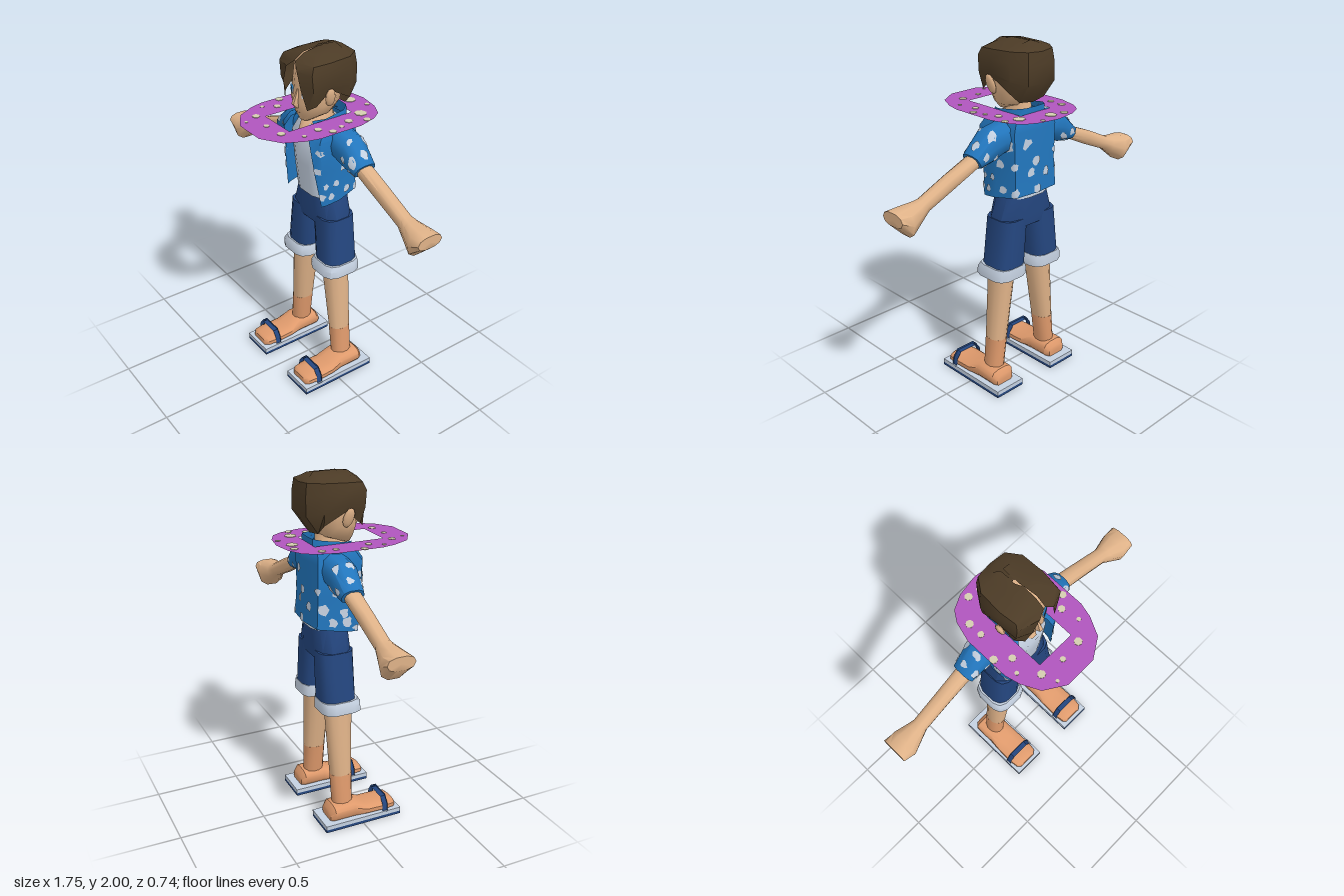
import * as THREE from 'three';
import { toCreasedNormals } from 'three/addons/utils/BufferGeometryUtils.js';

const mat = (name, color, side = THREE.FrontSide) => new THREE.MeshStandardMaterial({ name, color, side });

// Seeded random numbers for the fabric blots
let seed = 7;
const rand = () => (seed = (seed * 16807) % 2147483647) / 2147483647;

// Skin over a list of cross-sections, each a list of [x, y, z]
function loft(rings, open = false, crease = 0.8) {
  const n = rings[0].length, pos = rings.flat(2), idx = [];
  for (let r = 0; r < rings.length - 1; r++)
    for (let i = 0; i < (open ? n - 1 : n); i++) {
      const a = r * n + i, b = r * n + (i + 1) % n;
      idx.push(a, b, b + n, a, b + n, a + n);
    }
  const cap = (r, flip) => {
    const c = pos.length / 3;
    for (let k = 0; k < 3; k++) pos.push(rings[r].reduce((s, p) => s + p[k], 0) / n);
    for (let i = 0; i < n; i++) {
      const a = r * n + i, b = r * n + (i + 1) % n;
      idx.push(c, ...(flip ? [b, a] : [a, b]));
    }
  };
  if (!open) { cap(0, true); cap(rings.length - 1, false); }
  const g = new THREE.BufferGeometry();
  g.setAttribute('position', new THREE.Float32BufferAttribute(pos, 3));
  g.setIndex(idx);
  return toCreasedNormals(g, crease);
}

// Unit cross-section; a higher power gives a squarer outline
function outline(n, power) {
  return Array.from({ length: n }, (_, i) => {
    const t = (i + 0.5) / n * Math.PI * 2;
    const f = v => Math.sign(v) * Math.abs(v) ** (2 / power);
    return [f(Math.cos(t)), f(Math.sin(t))];
  });
}

// Upright section: centre x, height, half width, front and back z
const upright = (n, power, rows) => rows.map(([cx, y, rx, zf, zb]) =>
  outline(n, power).map(([c, s]) => [cx + s * rx, y, (zf + zb) / 2 + c * (zf - zb) / 2]));

// Sideways section: top x,y and bottom x,y, half depth
const sideways = (n, power, rows) => rows.map(([xt, yt, xb, yb, rz]) =>
  outline(n, power).map(([c, s]) => [(xt + xb) / 2 + c * (xt - xb) / 2, (yt + yb) / 2 + c * (yt - yb) / 2, -0.1 + s * rz]));

// Point on a lofted surface, u around and v along
function surfacePoint(rings, u, v, closed) {
  const n = rings[0].length;
  if (closed) u = (u + n) % n;
  else u = Math.min(Math.max(u, 0), n - 1.001);
  v = Math.min(Math.max(v, 0), rings.length - 1.001);
  const i = Math.floor(u), j = Math.floor(v), at = (a, b) => new THREE.Vector3(...rings[b][a % n]);
  return at(i, j).lerp(at(i + 1, j), u - i).lerp(at(i, j + 1).lerp(at(i + 1, j + 1), u - i), v - j);
}

// Ragged blot that hugs a lofted surface
function blot(rings, u, v, radius, closed) {
  const p = (a, b) => surfacePoint(rings, a, b, closed), e = 0.05;
  const du = p(u + e, v).sub(p(u - e, v)).divideScalar(2 * e);
  const dv = p(u, v + e).sub(p(u, v - e)).divideScalar(2 * e);
  const normal = du.clone().cross(dv).normalize().multiplyScalar(0.005);
  const pts = [p(u, v).add(normal)], idx = [], n = 10;
  for (let k = 0; k < n; k++) {
    const t = k / n * Math.PI * 2, r = radius * (0.65 + 0.6 * rand());
    pts.push(p(u + r * Math.cos(t) / du.length(), v + r * Math.sin(t) / dv.length()).add(normal));
    idx.push(0, k + 1, (k + 1) % n + 1);
  }
  const g = new THREE.BufferGeometry().setFromPoints(pts);
  g.setIndex(idx);
  g.computeVertexNormals();
  return g;
}

export function createModel() {
  seed = 7;
  const D = THREE.DoubleSide;
  const skin = mat('skin', 0xdfb288), tan = mat('tanned skin', 0xdf9a6c);
  const hair = mat('hair brown', 0x4c3b26, D), blue = mat('shirt blue', 0x2276bd, D);
  const grey = mat('pale grey', 0xc4d0e0, D), navy = mat('navy', 0x24467f);
  const purple = mat('garland purple', 0xb055bd, D), cream = mat('cream', 0xd4cdb0);
  const iris = mat('eye blue', 0x2f86c8);
  const model = new THREE.Group();
  const add = (parent, name, geometry, material) => {
    const m = new THREE.Mesh(geometry, material);
    m.name = name;
    parent.add(m);
    return m;
  };

  // Head and neck
  add(model, 'neck', loft(upright(12, 2, [[0, 1.555, .05, .06, -.12], [0, 1.6, .07, .04, -.16],
    [0, 1.625, .06, 0, -.15], [0, 1.72, .06, -.01, -.14]])), skin);
  add(model, 'head', loft(upright(12, 2, [[0, 1.615, .035, .05, 0], [0, 1.66, .1, .07, -.13], [0, 1.72, .133, .085, -.17],
    [0, 1.8, .143, .07, -.18], [0, 1.9, .138, .06, -.19], [0, 1.95, .1, .03, -.17]]), false, 1.1), skin);
  add(model, 'nose', loft(upright(6, 2, [[0, 1.69, .012, .085, .05], [0, 1.715, .02, .107, .05], [0, 1.79, .008, .075, .05]])), skin);
  add(model, 'mouth', new THREE.BoxGeometry(.035, .005, .006), tan).position.set(0, 1.663, .066);
  for (const s of [1, -1]) {
    for (const [name, w, h, d, m] of [['eyeWhite', .062, .026, .006, grey], ['iris', .036, .022, .009, iris], ['eyelid', .06, .008, .0095, iris]]) {
      const eye = add(model, name, new THREE.BoxGeometry(w, h, d), m);
      eye.position.set(s * .068, name === 'eyelid' ? 1.778 : 1.767, .058);
      eye.rotation.set(-.15, s * .485, 0, 'YXZ');
    }
    const ear = add(model, 'ear', new THREE.SphereGeometry(1, 8, 6), skin);
    ear.scale.set(.016, .056, .032);
    ear.position.set(s * .155, 1.775, -.025);
    ear.rotation.set(.2, 0, -s * .25);
  }

  // Hair shell, open over the face with a parted fringe
  const hairRing = (ys, xl, xr, zf, w, zb) => {
    const side = [[w * .92, zf - .035], [w, -.03], [w * .95, -.16], [w * .6, zb]];
    const pts = [[xr, zf], ...side, [0, zb - .01], ...side.map(([x, z]) => [-x, z]).reverse(), [xl, zf]];
    return pts.map(([x, z], i) => [x, Array.isArray(ys) ? ys[Math.min(i, 10 - i)] : ys, z]);
  };
  add(model, 'hair', loft([
    hairRing([1.71, 1.735, 1.81, 1.74, 1.69, 1.68], -.095, .105, .085, .15, -.17),
    hairRing([1.82, 1.82, 1.84, 1.81, 1.79, 1.79], -.07, .085, .11, .16, -.24),
    hairRing([1.92, 1.91, 1.91, 1.9, 1.89, 1.89], -.03, .06, .118, .158, -.24),
    hairRing([1.955, 1.95, 1.955, 1.96, 1.96, 1.955], .012, .022, .1, .145, -.23),
    hairRing([1.99, 1.985, 1.985, 1.985, 1.98, 1.98], .012, .022, .045, .08, -.2),
    hairRing(2, .01, .012, -.03, .008, -.08)], true, .65), hair);

  // Vest under the open shirt
  add(model, 'vest', loft(upright(12, 3, [[0, 1.16, .135, .02, -.21], [0, 1.35, .135, .045, -.2],
    [0, 1.52, .13, .065, -.2], [0, 1.595, .1, .025, -.18]])), grey);

  // Open shirt: front edge x and z, side x, back z
  const shirtRings = [[1.16, .16, .03, .18, -.23], [1.35, .135, .06, .172, -.22], [1.54, .112, .08, .18, -.22],
    [1.595, .1, .045, .16, -.215], [1.617, .07, .01, .1, -.2]].map(([y, xf, zf, xs, zb], row) => {
    const half = [[xf, zf], [xs * .95, zf - .03], [xs, -.08], [xs * .85, zb + .02]];
    const pts = [...half, [0, zb], ...half.map(([x, z]) => [-x, z]).reverse()];
    return pts.map(([x, z]) => [x, row ? y : y - .012 - z * .17, z]);
  });
  const shirt = new THREE.Group();
  shirt.name = 'shirt';
  model.add(shirt);
  add(shirt, 'shirtBody', loft(shirtRings, true), blue);
  for (let row = 0; row < 4; row++)
    for (let col = 0; col < 9; col++) {
      const u = .55 + col * .86 + (row % 2) * .4 + (rand() - .5) * .3, v = .2 + row * .46 + (rand() - .5) * .2;
      if (rand() < .8) add(shirt, 'shirtBlot', blot(shirtRings, u, v, .018 + .016 * rand(), false), grey);
    }
  const collarHalf = [[.075, .03], [.11, -.03], [.105, -.15], [.07, -.195]];
  const collarPts = [...collarHalf, [0, -.2], ...collarHalf.map(([x, z]) => [-x, z]).reverse()];
  add(shirt, 'collar', loft([collarPts.map(([x, z]) => [x * 1.1, 1.6, z]),
    collarPts.map(([x, z]) => [x, 1.632 - z * .15, z])], true), blue);

  // Arms and sleeves
  const sleeve = sideways(10, 2.4, [[.14, 1.6, .14, 1.42, .08], [.2, 1.585, .18, 1.42, .085],
    [.265, 1.575, .25, 1.39, .08], [.38, 1.46, .34, 1.38, .066]]);
  const armRings = sideways(10, 2.4, [[.35, 1.46, .33, 1.39, .048], [.53, 1.39, .5, 1.31, .043], [.7, 1.312, .67, 1.238, .042],
    [.735, 1.305, .715, 1.205, .055], [.81, 1.3, .8, 1.14, .082], [.875, 1.288, .875, 1.215, .078]]);
  for (const s of [1, -1]) {
    const arm = new THREE.Group();
    arm.name = s > 0 ? 'leftArm' : 'rightArm';
    arm.scale.x = s;
    model.add(arm);
    add(arm, 'forearmAndHand', loft(armRings), skin);
    add(arm, 'sleeve', loft(sleeve), blue);
    for (let i = 0; i < 10; i++)
      add(arm, 'sleeveBlot', blot(sleeve, i + rand() * .4, i % 2 ? 2.65 : 1.95 + rand() * .2, .018 + .012 * rand(), true), grey);
  }

  // Shorts
  add(model, 'shortsSeat', loft(upright(12, 2.8, [[0, .99, .18, .005, -.195], [0, 1.04, .195, .01, -.2], [0, 1.2, .135, .01, -.2]])), navy);

  for (const s of [1, -1]) {
    const leg = new THREE.Group();
    leg.name = s > 0 ? 'leftLeg' : 'rightLeg';
    leg.scale.x = s;
    model.add(leg);
    add(leg, 'shortsLeg', loft(upright(12, 3, [[.135, .74, .098, .01, -.2], [.105, 1.04, .092, .008, -.198]])), navy);
    add(leg, 'cuff', loft(upright(12, 3.5, [[.14, .695, .115, .035, -.205], [.139, .735, .114, .033, -.205], [.137, .762, .103, .018, -.202]])), grey);
    add(leg, 'shin', loft(upright(12, 2.2, [[.187, .3, .054, -.025, -.153], [.14, .72, .068, -.005, -.165]])), skin);
    add(leg, 'ankle', loft(upright(12, 2.2, [[.21, .09, .051, -.03, -.15], [.187, .3, .0545, -.0245, -.1535]])), tan);
    // Foot from heel to toes: z, half width, top
    add(leg, 'foot', loft([[-.19, .06, .1], [-.165, .08, .128], [-.04, .08, .132], [.035, .085, .095], [.15, .088, .092], [.205, .08, .088], [.222, .06, .075]]
      .map(([z, w, top]) => outline(12, 2.8).map(([c, q]) => [.217 + c * w, (top + .03) / 2 + q * (top - .03) / 2, z]))), tan);
    // Sandal sole and strap
    const sole = (name, h, y, m) => add(leg, name, new THREE.BoxGeometry(.198, h, .478), m).position.set(.217, y, .003);
    sole('soleBottom', .017, .0085, navy);
    sole('soleTop', .024, .029, grey);
    const strapPath = [[.125, .035], [.132, .085], [.16, .122], [.275, .122], [.303, .085], [.31, .035]];
    add(leg, 'strap', loft(strapPath.map(([x, y]) => {
      const nx = (x - .2175) * .08, ny = y > .1 ? .012 : .004;
      return [[x, y, .128], [x, y, .158], [x + nx, y + ny, .158], [x + nx, y + ny, .128]];
    })), navy);
  }

  // Flat flower garland around the neck
  const rim = [[.09, .37], [.2, .3], [.25, .2], [.27, .12], [.27, -.14], [.24, -.25], [.2, -.31], [.12, -.35]];
  const shape = new THREE.Shape([...rim, [0, -.37], ...rim.map(([x, z]) => [-x, z]).reverse()].map(([x, z]) => new THREE.Vector2(x, -z)));
  shape.holes.push(new THREE.Path([[-.11, .2], [.11, .2], [.11, -.2], [-.11, -.2]].map(p => new THREE.Vector2(...p))));
  const garland = new THREE.Group();
  garland.name = 'garland';
  garland.position.y = 1.63;
  model.add(garland);
  add(garland, 'garlandBand', new THREE.ShapeGeometry(shape).rotateX(-Math.PI / 2), purple);
  for (const [x, z, r] of [[-.02, -.29, .033], [.15, -.23, .034], [.23, -.21, .02], [-.1, -.31, .022], [-.2, -.2, .022], [-.2, -.12, .018],
    [.19, -.12, .022], [-.25, .02, .022], [-.18, .08, .02], [.18, .07, .02], [.24, .02, .02], [.22, -.05, .014], [-.14, .24, .022],
    [-.01, .26, .016], [.11, .25, .022], [-.11, .32, .01], [.2, .17, .012], [-.22, .15, .012], [.08, -.33, .014]]) {
    const flower = add(garland, 'flower', new THREE.CylinderGeometry(r, r, .005, 7), cream);
    flower.position.set(x, 0, z);
    flower.rotation.y = rand() * 6;
  }
  return model;
}
